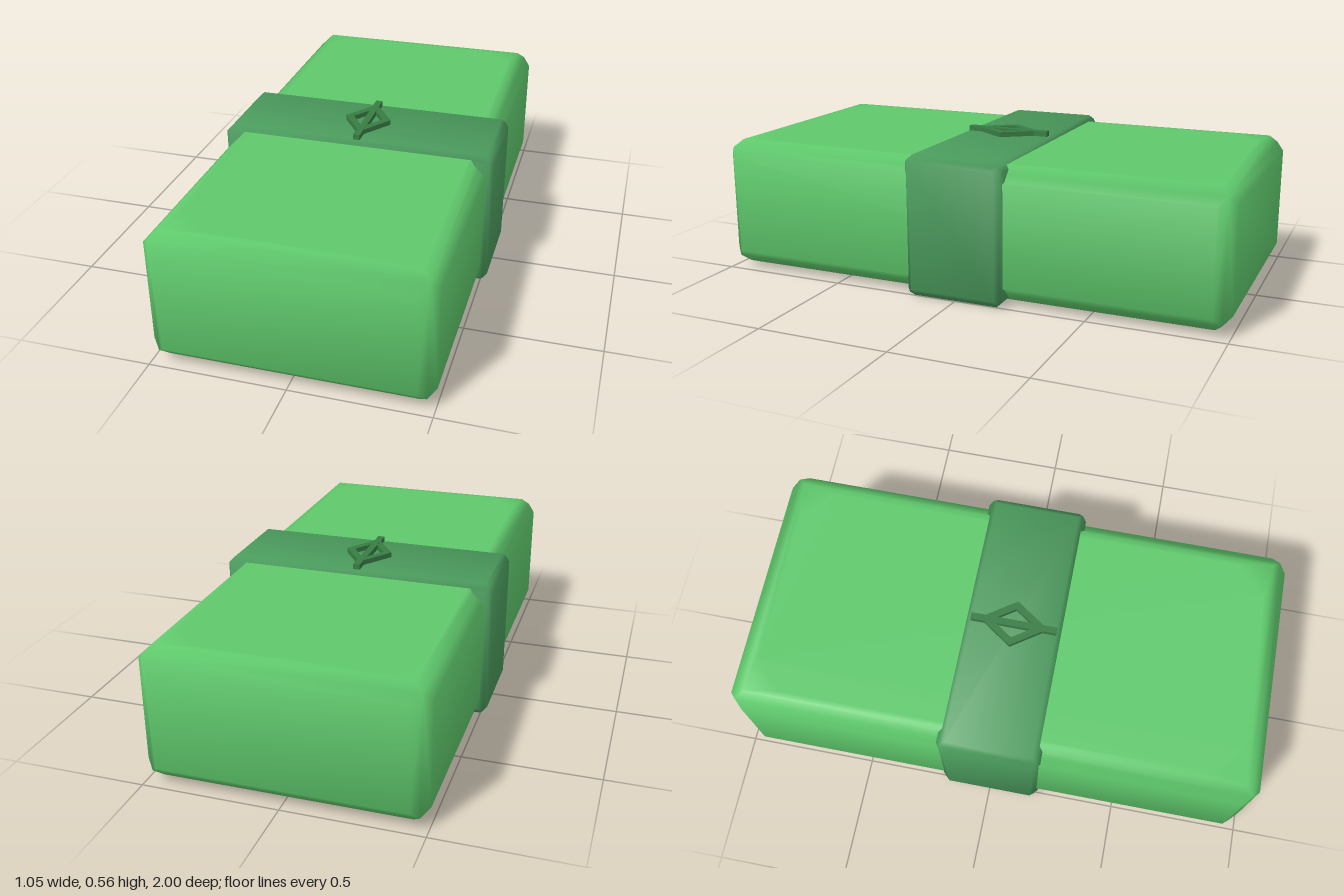
import * as THREE from 'three';

const material = (name, color) => {
  const m = new THREE.MeshStandardMaterial({ color });
  m.name = name;
  return m;
};

// Softly shaded box with chamfered edges meeting in one point at each corner.
// half: half sizes, c: chamfer, inset/cut: optional flat octagon on the top face.
function chamferBox(half, c, inset = 0, cut = 0) {
  const positions = [], normals = [];
  const signs = [-1, 1];

  // corner of the flat face on the given axis
  const faceCorner = (axis, s) => ({
    p: new THREE.Vector3(...s.map((v, i) => v * (half[i] - (i === axis ? 0 : c)))),
    n: new THREE.Vector3(...s.map((v, i) => v * (i === axis ? 1 : 0.3))).normalize(),
  });
  // point where three chamfers meet
  const apex = (s) => ({
    p: new THREE.Vector3(...s.map((v, i) => v * (half[i] - c / 2))),
    n: new THREE.Vector3(...s).normalize(),
  });
  // convex polygon as a fan, turned to face outward
  const polygon = (pts) => {
    for (let i = 1; i < pts.length - 1; i++) {
      const t = [pts[0], pts[i], pts[i + 1]];
      const e1 = t[1].p.clone().sub(t[0].p), e2 = t[2].p.clone().sub(t[0].p);
      if (e1.cross(e2).dot(t[0].p) < 0) t.reverse();
      for (const { p, n } of t) {
        positions.push(p.x, p.y, p.z);
        normals.push(n.x, n.y, n.z);
      }
    }
  };
  const make = (a, sa, b, sb, e, se) => {
    const s = [0, 0, 0];
    s[a] = sa; s[b] = sb; s[e] = se;
    return s;
  };

  for (let a = 0; a < 3; a++) {
    const b = (a + 1) % 3, e = (a + 2) % 3;
    for (const sa of signs) {
      // flat face
      const rect = [[-1, -1], [1, -1], [1, 1], [-1, 1]]
        .map(([sb, se]) => faceCorner(a, make(a, sa, b, sb, e, se)));
      if (inset && a === 1 && sa === 1) {
        const up = new THREE.Vector3(0, 1, 0);
        const point = (x, z) => ({ p: new THREE.Vector3(x, half[1], z), n: up });
        const x = half[0] - inset, z = half[2] - inset;
        // two octagon points beside each corner, in the order of rect (z, then x)
        const pairs = [
          [point(-x, -z + cut), point(-x + cut, -z)],
          [point(-x + cut, z), point(-x, z - cut)],
          [point(x, z - cut), point(x - cut, z)],
          [point(x - cut, -z), point(x, -z + cut)],
        ];
        // order each pair around the outline
        pairs[0].reverse();
        pairs.forEach((pair, i) => {
          const q = rect[(i + 1) % 4].p.clone().sub(rect[i].p);
          if (pair[1].p.clone().sub(pair[0].p).dot(q) < 0) pair.reverse();
        });
        polygon(pairs.flat());
        pairs.forEach((pair, i) => {
          const j = (i + 1) % 4;
          polygon([rect[i], pair[0], pair[1]]);
          polygon([rect[i], rect[j], pairs[j][0], pair[1]]);
        });
      } else polygon(rect);

      // chamfers between the faces on axes a and b
      for (const sb of signs) {
        const s1 = make(a, sa, b, sb, e, 1), s2 = make(a, sa, b, sb, e, -1);
        polygon([apex(s1), faceCorner(a, s1), faceCorner(a, s2),
          apex(s2), faceCorner(b, s2), faceCorner(b, s1)]);
      }
    }
  }
  const g = new THREE.BufferGeometry();
  g.setAttribute('position', new THREE.Float32BufferAttribute(positions, 3));
  g.setAttribute('normal', new THREE.Float32BufferAttribute(normals, 3));
  return g;
}

export function createModel() {
  const model = new THREE.Group();
  model.name = 'banknoteBundle';
  const add = (name, geometry, mat, y) => {
    const mesh = new THREE.Mesh(geometry, mat);
    mesh.name = name;
    mesh.position.y = y;
    model.add(mesh);
    return mesh;
  };

  // stack of notes and the paper band around it
  add('noteStack', chamferBox([0.5, 0.25, 1], 0.057, 0.08, 0.11), material('lightGreen', 0x5fc96c), 0.268);
  add('paperBand', chamferBox([0.525, 0.2675, 0.195], 0.03), material('bandGreen', 0x4a9a5c), 0.2675);

  // raised plain ornament on the band: a lozenge frame with a centre bar
  const lozenge = (x, z) => [[x, 0], [0, z], [-x, 0], [0, -z]].map(([u, v]) => new THREE.Vector2(u, v));
  const frame = new THREE.Shape(lozenge(0.09, 0.13));
  frame.holes.push(new THREE.Path(lozenge(0.058, 0.085)));
  const emblemGreen = material('emblemGreen', 0x387c44);
  const frameGeometry = new THREE.ExtrudeGeometry(frame, { depth: 0.03, bevelEnabled: false });
  frameGeometry.rotateX(-Math.PI / 2);
  add('ornamentFrame', frameGeometry, emblemGreen, 0.524);
  add('ornamentBar', new THREE.BoxGeometry(0.026, 0.03, 0.33), emblemGreen, 0.54);

  return model;
}
